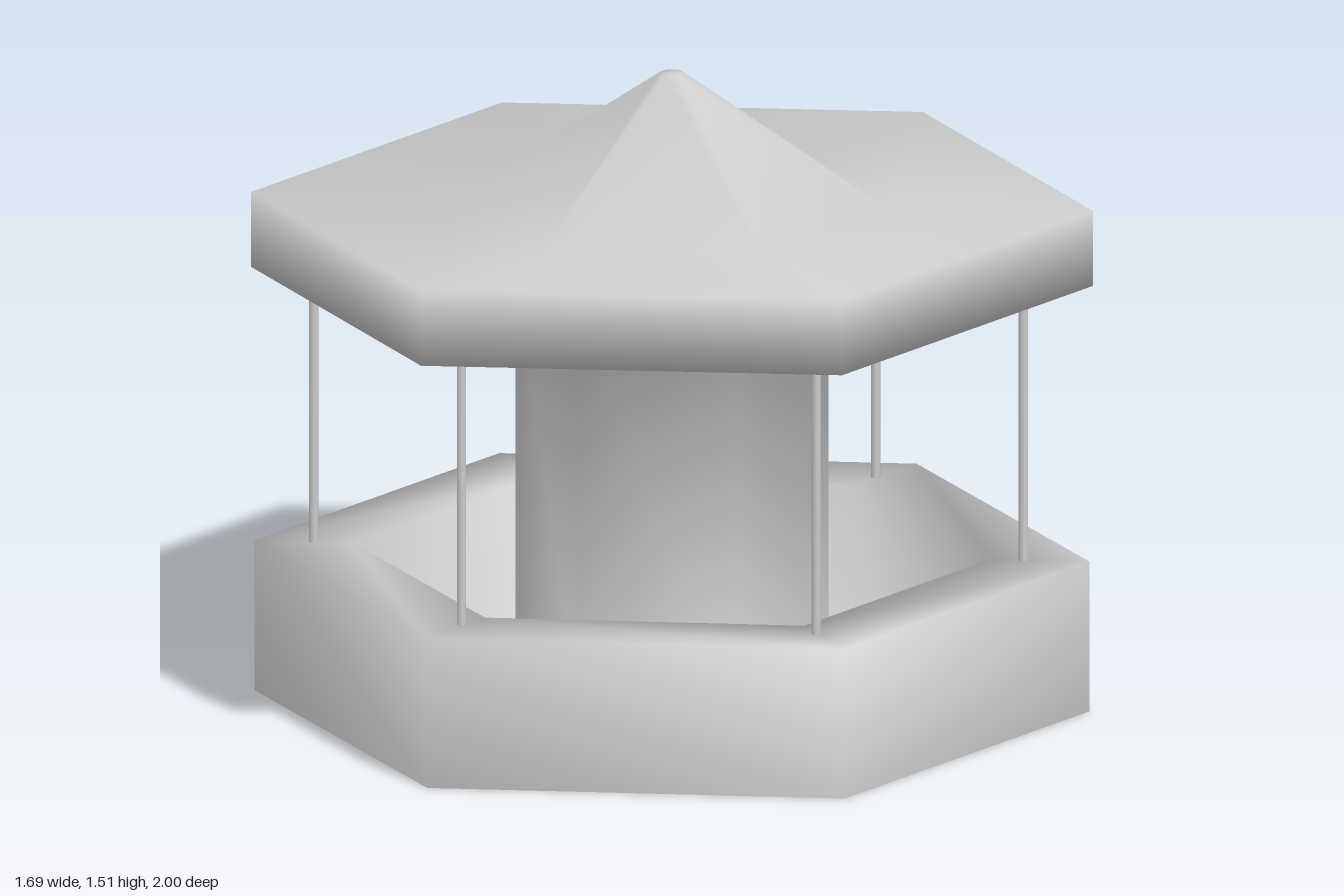
import * as THREE from 'three';

const material = new THREE.MeshStandardMaterial({ color: 0xcccccc, side: THREE.DoubleSide });
const SIDES = 6;

// One continuous hexagonal skin [radius, height], from the skirt up to the tip
const PROFILE = [
  [0.975, 0], [0.975, 0.36], [0.745, 0.36], [0.745, 0],
  [0.365, 0.03], [0.365, 1.02],
  [1, 1.02], [1, 1.2], [0.5, 1.2], [0.03, 1.51], [0, 1.51],
].map(([r, y]) => new THREE.Vector2(r, y));

// Spin the whole profile but keep only the bands first..last, so that
// neighbouring parts share smooth normals along their seams
function hexPart(name, first, last) {
  const geo = new THREE.LatheGeometry(PROFILE, SIDES);
  const bands = PROFILE.length - 1;
  const index = Array.from(geo.index.array).filter((_, i) => {
    const band = Math.floor(i / 6) % bands;
    return band >= first && band <= last;
  });
  geo.setIndex(index);
  // The roof rim is slightly narrower across the flats
  const pos = geo.attributes.position;
  for (let i = 0; i < pos.count; i++) {
    if (pos.getY(i) > 1.01 && Math.hypot(pos.getX(i), pos.getZ(i)) > 0.9) {
      pos.setX(i, pos.getX(i) * 0.976);
    }
  }
  const mesh = new THREE.Mesh(geo, material);
  mesh.name = name;
  return mesh;
}

export function createModel() {
  const group = new THREE.Group();
  group.name = 'hexagonalPavilion';

  group.add(hexPart('baseRing', 0, 2));
  group.add(hexPart('floor', 3, 3));
  group.add(hexPart('centralColumn', 4, 4));
  group.add(hexPart('roofCanopy', 5, 7));
  group.add(hexPart('roofPeak', 8, 9));

  // Thin poles standing on the corners of the base ring
  const poles = new THREE.Group();
  poles.name = 'poles';
  const poleGeo = new THREE.CylinderGeometry(0.011, 0.011, 0.66, 8);
  for (let i = 0; i < SIDES; i++) {
    const a = (i / SIDES) * Math.PI * 2;
    const pole = new THREE.Mesh(poleGeo, material);
    pole.name = 'pole' + (i + 1);
    pole.position.set(Math.sin(a) * 0.83 - 0.007, 0.69, Math.cos(a) * 0.825 + 0.004);
    poles.add(pole);
  }
  group.add(poles);
  return group;
}
